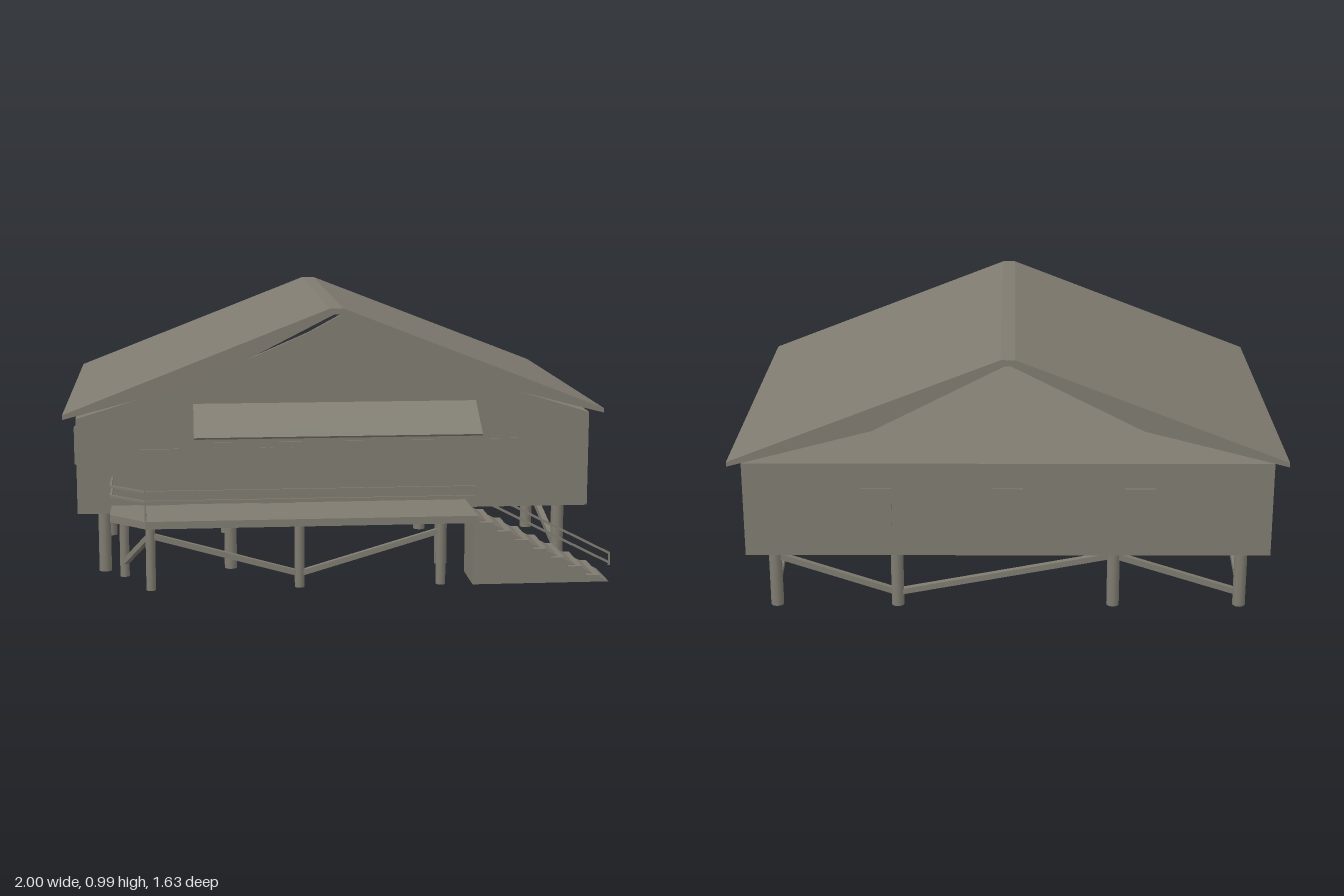
import * as THREE from 'three';

const paint = new THREE.MeshStandardMaterial({ color: 0x7f7b70, side: THREE.DoubleSide });
paint.name = 'weathered grey';

export function createModel() {
  const root = new THREE.Group();
  root.name = 'stiltHouse';

  const add = (name, geometry, parent = root) => {
    const mesh = new THREE.Mesh(geometry, paint);
    mesh.name = name;
    parent.add(mesh);
    return mesh;
  };
  // Box given by its limits on each axis
  const box = (name, x0, x1, y0, y1, z0, z1) => {
    const mesh = add(name, new THREE.BoxGeometry(x1 - x0, y1 - y0, z1 - z0));
    mesh.position.set((x0 + x1) / 2, (y0 + y1) / 2, (z0 + z1) / 2);
    return mesh;
  };
  const shape = (points) => new THREE.Shape(points.map(([x, y]) => new THREE.Vector2(x, y)));
  // Front profile (x, y) swept from z0 to z1
  const prism = (name, points, z0, z1) => {
    const geometry = new THREE.ExtrudeGeometry(shape(points), { depth: z1 - z0, bevelEnabled: false });
    return add(name, geometry.translate(0, 0, z0));
  };
  // Plan outline (x, z) swept from y0 to y1
  const slab = (name, points, y0, y1) => {
    const flat = points.map(([x, z]) => [x, -z]);
    const geometry = new THREE.ExtrudeGeometry(shape(flat), { depth: y1 - y0, bevelEnabled: false });
    return add(name, geometry.rotateX(-Math.PI / 2).translate(0, y0, 0));
  };
  // Straight square bar between two points
  const bar = (name, a, b, size) => {
    const start = new THREE.Vector3(...a);
    const end = new THREE.Vector3(...b);
    const mesh = add(name, new THREE.BoxGeometry(size, size, start.distanceTo(end)));
    mesh.position.copy(start).lerp(end, 0.5);
    mesh.lookAt(end);
    return mesh;
  };
  const path = (name, points, size) => {
    for (let i = 1; i < points.length; i++) bar(name, points[i - 1], points[i], size);
  };

  // House body and front gable; the rear gable is left open
  box('walls', -0.955, 0.955, 0.235, 0.592, -0.78, 0.535);
  prism('frontGable', [[-0.955, 0.59], [0.955, 0.59], [0.48, 0.735], [0.02, 0.965], [-0.1, 0.9], [-0.48, 0.735]], 0.515, 0.535);

  // Roof with a bent underside
  prism('roof', [
    [-1, 0.595], [-0.48, 0.73], [-0.01, 0.97], [0.01, 0.97], [0.48, 0.73], [1, 0.595],
    [1, 0.612], [0.025, 0.992], [-0.025, 0.992], [-1, 0.612],
  ], -0.82, 0.578);

  // Awning over the deck
  const awning = add('awning', new THREE.BoxGeometry(1.05, 0.008, 0.185));
  awning.position.set(0, 0.588, 0.612);
  awning.rotation.x = Math.atan2(0.1, 0.155);

  // Front windows, doors and rear windows
  for (const [a, b] of [[-0.485, -0.385], [-0.23, -0.105], [0, 0.1], [0.265, 0.37], [0.58, 0.685]])
    box('frontWindow', a, b, 0.352, 0.497, 0.53, 0.542);
  for (const [a, b] of [[-0.73, -0.58], [-0.28, -0.155]])
    box('door', a, b, 0.26, 0.475, 0.53, 0.544);
  for (const x of [-0.475, 0, 0.475])
    box('rearWindow', x - 0.055, x + 0.055, 0.352, 0.497, -0.787, -0.775);

  // Side windows: flat pane beside a bowed pane
  for (const side of [-1, 1]) {
    for (const [z0, z1, split] of [[0.04, 0.235, 0.165], [-0.5, -0.3, -0.355]]) {
      const outline = [[0.95, z0]];
      for (let i = 0; i <= 8; i++) {
        const t = i / 8;
        outline.push([0.966 + 0.02 * Math.sin(t * Math.PI / 2), z0 + (split - z0) * t]);
      }
      outline.push([0.975, split], [0.975, z1], [0.95, z1]);
      const points = outline.map(([x, z]) => [x * side, z]);
      slab('sideWindow', points, 0.35, 0.495);
    }
  }

  // Stilts under the house
  const post = (name, x, z, radius, height) => {
    const mesh = add(name, new THREE.CylinderGeometry(radius, radius, height, 10));
    mesh.position.set(x, height / 2, z);
  };
  const columns = [-0.86, -0.39, 0.41, 0.86];
  const rows = [0.455, -0.125, -0.695];
  for (const x of columns) for (const z of rows) post('stilt', x, z, 0.024, 0.237);

  // Diagonal braces along the sides and the rear
  for (const x of [-0.86, 0.86])
    path('sideBrace', [[x, 0.05, 0.455], [x, 0.2, -0.125], [x, 0.065, -0.695]], 0.022);
  path('rearBrace', columns.map((x, i) => [x, i % 2 ? 0.2 : 0.05, -0.695]), 0.022);

  // Deck with a clipped corner, posts and braces
  slab('deck', [[-0.83, 0.53], [0.49, 0.53], [0.49, 0.815], [-0.7, 0.815], [-0.83, 0.69]], 0.238, 0.265);
  const deckPosts = [[-0.785, 0.545], [-0.685, 0.75], [-0.15, 0.75], [0.365, 0.75]];
  for (const [x, z] of deckPosts) post('deckPost', x, z, 0.018, 0.24);
  path('deckBrace', deckPosts.map(([x, z], i) => [x, i % 2 ? 0.2 : 0.05, z]), 0.02);

  // Handrails following the deck edge and the stairs
  for (const y of [0.335, 0.37])
    path('handrail', [
      [-0.825, y, 0.54], [-0.825, y, 0.69], [-0.7, y, 0.806],
      [0.475, y, 0.806], [0.975, y - 0.255, 0.806],
    ], 0.008);
  bar('railEnd', [0.975, 0.07, 0.806], [0.975, 0.118, 0.806], 0.006);
  bar('railPost', [-0.7, 0.26, 0.806], [-0.7, 0.37, 0.806], 0.006);

  // Stair wedge and treads
  prism('stairRamp', [[0.48, 0], [0.985, 0], [0.5, 0.25], [0.48, 0.25]], 0.588, 0.775);
  for (let i = 0; i < 7; i++) {
    const x = 0.5 + i * 0.066;
    const y = 0.235 - i * 0.034;
    box('tread', x, x + 0.05, y - 0.012, y, 0.575, 0.795);
  }
  return root;
}
